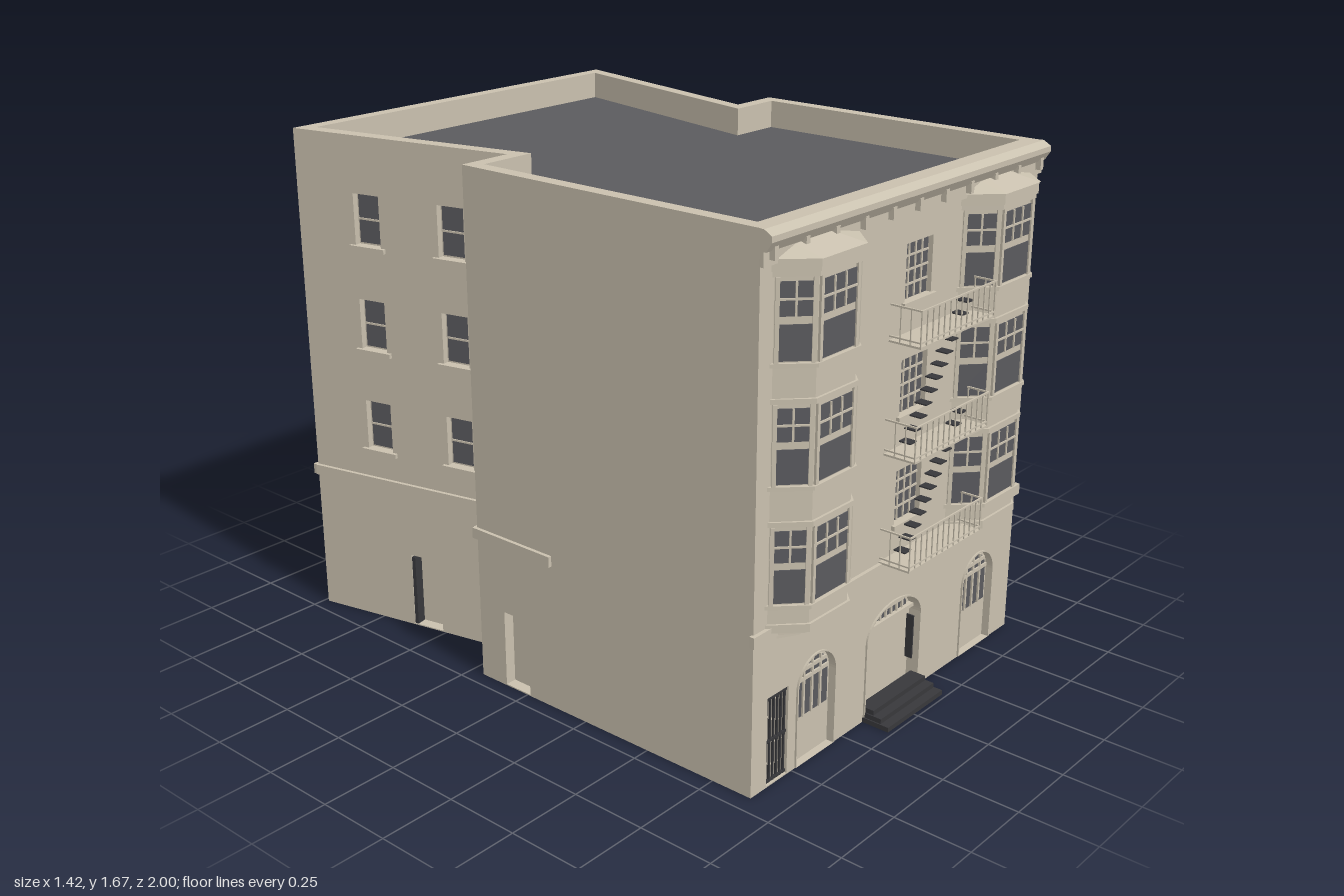
import * as THREE from 'three';

const mat = (name, color) => Object.assign(new THREE.MeshStandardMaterial({ color, side: THREE.DoubleSide }), { name });
const stone = mat('stone', 0xc9c0ae);
const glass = mat('glass', 0x5a5a5e);
const roofing = mat('roofing', 0x5b5b5e);
const iron = mat('iron', 0x38383b);

const H = 1.67, T = 0.045, FRONT = 0.89;
// Footprint corners (x, z), starting at the front, outward side on the right hand
const PLAN = [[-0.69, 0.89], [0.695, 0.89], [0.69, -0.16], [0.52, -0.16],
  [0.70, -0.985], [-0.70, -0.985], [-0.52, -0.2], [-0.70, -0.2]];

function add(parent, name, geo, material) {
  const m = new THREE.Mesh(geo, material);
  m.name = name;
  parent.add(m);
  return m;
}
// Box given by its minimum and maximum on each axis
function box(parent, name, x0, x1, y0, y1, z0, z1, material = stone) {
  const m = add(parent, name, new THREE.BoxGeometry(x1 - x0, y1 - y0, z1 - z0), material);
  m.position.set((x0 + x1) / 2, (y0 + y1) / 2, (z0 + z1) / 2);
  return m;
}
function group(parent, name) {
  const g = new THREE.Group();
  g.name = name;
  parent.add(g);
  return g;
}
// Opening outline: a rectangle, or an elliptical arch if spring is below the top
function outline(Kind, x0, x1, y0, top, spring = top) {
  const s = new Kind(), c = (x0 + x1) / 2;
  s.moveTo(x0, y0);
  s.lineTo(x1, y0);
  s.lineTo(x1, spring);
  if (spring < top) s.absellipse(c, spring, (x1 - x0) / 2, top - spring, 0, Math.PI, false);
  else s.lineTo(x0, top);
  s.closePath();
  return s;
}
// Glass sheet divided into cols x rows by thin bars
function sash(g, x0, x1, y0, y1, cols, rows, z) {
  box(g, 'pane', x0, x1, y0, y1, z, z + 0.003, glass);
  const b = 0.003;
  for (let i = 1; i < cols; i++) {
    const x = x0 + (x1 - x0) * i / cols;
    box(g, 'glazingBar', x - b, x + b, y0, y1, z, z + 0.007);
  }
  for (let j = 1; j < rows; j++) {
    const y = y0 + (y1 - y0) * j / rows;
    box(g, 'glazingBar', x0, x1, y - b, y + b, z, z + 0.007);
  }
}
// Arched glass with upright bars and cross bars trimmed to the curve
function archGlass(g, c, hw, y0, spring, top, cols, crossBars, z) {
  const s = outline(THREE.Shape, c - hw, c + hw, y0, top, spring);
  add(g, 'archedPane', new THREE.ShapeGeometry(s, 16), glass).position.z = z;
  for (let i = 1; i < cols; i++) {
    const x = hw * (2 * i / cols - 1);
    const y = spring + (top - spring) * Math.sqrt(1 - (x / hw) ** 2);
    box(g, 'glazingBar', c + x - 0.004, c + x + 0.004, y0, y, z, z + 0.006);
  }
  for (const y of crossBars) {
    const w = y > spring ? hw * Math.sqrt(1 - ((y - spring) / (top - spring)) ** 2) : hw;
    box(g, 'glazingBar', c - w, c + w, y - 0.006, y + 0.006, z, z + 0.006);
  }
}
// Wall panel along one footprint edge, mitred inside; returns its local frame
function wall(parent, i, name, holes) {
  const n = PLAN.length, at = k => new THREE.Vector2(...PLAN[(k + n) % n]);
  const p = at(i), dir = at(i + 1).sub(p), L = dir.length();
  const turn = (a, b) => Math.atan2(-(a.x * b.y - a.y * b.x), a.dot(b));
  const m0 = T * Math.tan(turn(at(i).sub(at(i - 1)), dir) / 2);
  const m1 = T * Math.tan(turn(dir, at(i + 2).sub(at(i + 1))) / 2);
  const s = outline(THREE.Shape, 0, L, 0, H);
  holes.forEach(h => s.holes.push(outline(THREE.Path, ...h)));
  const geo = new THREE.ExtrudeGeometry(s, { depth: T, bevelEnabled: false, curveSegments: 16 });
  geo.translate(0, 0, -T);
  const v = geo.attributes.position;
  for (let k = 0; k < v.count; k++) if (v.getZ(k) < -T / 2) {
    if (v.getX(k) < 1e-4) v.setX(k, m0);
    else if (v.getX(k) > L - 1e-4) v.setX(k, L - m1);
  }
  geo.computeVertexNormals();
  const g = group(parent, name);
  g.position.set(p.x, 0, p.y);
  g.rotation.y = Math.atan2(-dir.y, dir.x);
  add(g, 'wallPanel', geo, stone);
  g.userData.length = L;
  return g;
}
const FLOORS = [0.62, 0.968, 1.316];
const rect = (c, w, y0, y1) => [c - w / 2, c + w / 2, y0, y1];
// Plain two-pane window with a sill
function sashWindow(g, [x0, x1, y0, y1]) {
  const w = group(g, 'window'), f = 0.006;
  box(w, 'frame', x0, x1, y0, y1, -0.03, -0.022);
  sash(w, x0 + f, x1 - f, y0 + f, y1 - f, 1, 2, -0.022);
  box(w, 'sill', x0 - 0.018, x1 + 0.018, y0 - 0.015, y0, -0.02, 0.012);
}
// Recessed door; sideDark adds a dark strip at one jamb
function door(g, [x0, x1, y0, y1], sideDark) {
  box(g, 'door', x0, x1, y0, y1, -T, -T + 0.008);
  if (sideDark) box(g, 'doorEdge', x0, x0 + 0.013, y0, y1 - 0.008, -T, -0.002, iron);
}
function course(g, x0, x1) {
  box(g, 'stringCourse', x0, x1, 0.485, 0.52, -0.005, 0.012);
}
// Canted bay plan, grown by off, as a slab from y0 to y1
function baySlab(parent, name, y0, y1, off, topX = 1, topZ = 1) {
  const a = 0.175 + off, b = 0.09 + off * 0.5, d = 0.08 + off;
  const s = new THREE.Shape([[-a, -0.01], [a, -0.01], [a, 0], [b, d], [-b, d], [-a, 0]].map(q => new THREE.Vector2(...q)));
  const geo = new THREE.ExtrudeGeometry(s, { depth: y1 - y0, bevelEnabled: false });
  geo.rotateX(Math.PI / 2).translate(0, y1, 0);
  const v = geo.attributes.position;
  for (let k = 0; k < v.count; k++) if (v.getY(k) > y1 - 1e-4) {
    v.setX(k, v.getX(k) * topX);
    v.setZ(k, v.getZ(k) * topZ);
  }
  geo.computeVertexNormals();
  return add(parent, name, geo, stone);
}
function bay(parent, cx) {
  const g = group(parent, 'bayWindow');
  g.position.set(cx, 0, FRONT);
  baySlab(g, 'bayBody', 0.505, 1.57, 0);
  baySlab(g, 'lowerCorbel', 0.468, 0.487, -0.045);
  baySlab(g, 'upperCorbel', 0.487, 0.505, -0.02);
  baySlab(g, 'bayBase', 0.505, 0.53, 0.008);
  baySlab(g, 'bayCornice', 1.545, 1.58, 0.013);
  baySlab(g, 'bayRoof', 1.58, 1.608, 0.018, 0.55, 0.1);
  for (const y of [0.59, 0.945, 1.295]) {
    baySlab(g, 'baySill', y - 0.012, y, 0.012);
    baySlab(g, 'bayLintel', y + 0.235, y + 0.25, 0.008);
    // Front facet and the two slanted facets
    for (const s of [-1, 0, 1]) {
      const f = group(g, 'facetWindow'), hw = s ? 0.044 : 0.075;
      f.position.set(s * 0.1325, 0, s ? 0.04 : 0.08);
      f.rotation.y = s * Math.atan2(0.08, 0.085);
      for (const e of [-1, 1]) box(f, 'jamb', e * (hw + 0.006) - 0.006, e * (hw + 0.006) + 0.006, y, y + 0.235, 0, 0.008);
      sash(f, -hw, hw, y + 0.004, y + 0.105, 1, 1, 0);
      sash(f, -hw, hw, y + 0.127, y + 0.222, s ? 2 : 3, 2, 0);
    }
  }
}
function fireEscape(parent) {
  const g = group(parent, 'fireEscape'), x0 = -0.09, x1 = 0.305, z1 = 0.998, r = 0.0025;
  [0.518, 0.866, 1.215].forEach((y, level) => {
    box(g, 'platform', x0, x1, y, y + 0.006, FRONT, z1);
    for (const h of [0.018, 0.112]) {
      box(g, 'frontRail', x0, x1, y + h - r, y + h + r, z1 - 2 * r, z1);
      for (const x of [x0, x1 - 2 * r]) box(g, 'sideRail', x, x + 2 * r, y + h - r, y + h + r, FRONT, z1);
    }
    for (let i = 0; i <= 13; i++) {
      const x = x0 + (x1 - x0 - 2 * r) * i / 13;
      box(g, 'baluster', x, x + 1.4 * r, y, y + 0.112, z1 - 1.5 * r, z1);
    }
    for (const z of [0.925, 0.96]) for (const x of [x0, x1 - 2 * r])
      box(g, 'sideBaluster', x, x + 1.4 * r, y, y + 0.112, z, z + 1.4 * r);
    // Stair treads up to the next platform
    if (level < 2) for (let i = 0; i < 12; i++) {
      const x = -0.05 + 0.27 * i / 11, ty = y + 0.045 + 0.365 * i / 11;
      box(g, 'tread', x - 0.017, x + 0.017, ty, ty + 0.004, 0.925, 0.965, iron);
    }
  });
}
function frontWall(parent) {
  const X = 0.69; // wall coordinate of x = 0
  const mids = FLOORS.map(y => rect(X + 0.05, 0.135, y, y + 0.172));
  const arches = [-0.39, 0.488].map(c => [X + c - 0.09, X + c + 0.09, 0.004, 0.342, 0.255]);
  const entry = [X - 0.135, X + 0.15, 0.004, 0.357, 0.265];
  const gate = [X - 0.62, X - 0.523, 0.004, 0.292];
  const g = wall(parent, 0, 'frontWall', [...mids, ...arches, entry, gate]);
  for (const [x0, x1, y0, y1] of mids) {
    sash(g, x0, x1, y0, y1, 4, 4, -0.02);
    box(g, 'sill', x0 - 0.015, x1 + 0.015, y0 - 0.014, y0, -0.02, 0.012);
  }
  for (const [x0, x1, y0, y1] of arches) {
    box(g, 'archPanel', x0, x1, y0, y1, -0.035, -0.02);
    archGlass(g, (x0 + x1) / 2, 0.081, 0.145, 0.255, 0.332, 4, [0.27, 0.3], -0.018);
  }
  // Entrance: door, fanlight and dark sidelights
  box(g, 'entranceDoor', entry[0], entry[1], 0, entry[3], -T, -0.038);
  box(g, 'transom', entry[0], entry[1], 0.278, 0.29, -0.038, -0.02);
  archGlass(g, X + 0.0075, 0.118, 0.29, 0.291, 0.348, 8, [0.322], -0.034);
  for (const x of [entry[0] + 0.012, entry[1] - 0.016]) box(g, 'sidelight', x, x + 0.005, 0.1, 0.25, -0.036, -0.01, iron);
  for (const a of [...arches, entry]) {
    const e = 0.005, s = outline(THREE.Shape, a[0] - e, a[1] + e, a[2], a[3] + e, a[4]);
    s.holes.push(outline(THREE.Path, a[0], a[1], a[2] + 0.001, a[3], a[4]));
    add(g, 'archTrim', new THREE.ExtrudeGeometry(s, { depth: 0.006, bevelEnabled: false, curveSegments: 16 }), stone);
  }
  // Barred gate
  box(g, 'gateBack', gate[0], gate[1], 0, gate[3], -T, -0.038);
  for (let i = 0; i < 6; i++) {
    const x = gate[0] + 0.004 + i * 0.0165;
    box(g, 'gateBar', x, x + 0.006, 0.006, 0.285, -0.012, -0.006, iron);
  }
  for (const y of [0.008, 0.14, 0.278]) box(g, 'gateRail', gate[0], gate[1], y, y + 0.008, -0.012, -0.005, iron);
  course(g, -0.012, g.userData.length + 0.012);
}
function cornice(parent) {
  const pts = [[0, 1.67], [0.012, 1.67], [0.038, 1.655], [0.038, 1.638], [0.02, 1.61], [0.012, 1.61], [0.012, 1.568], [0, 1.568]];
  const geo = new THREE.ExtrudeGeometry(new THREE.Shape(pts.map(q => new THREE.Vector2(...q))), { depth: 1.39, bevelEnabled: false });
  const m = add(parent, 'cornice', geo, stone);
  m.rotation.y = -Math.PI / 2;
  m.scale.z = -1; // profile faces forward, running along +x
  m.rotation.y = Math.PI / 2;
  geo.scale(-1, 1, -1);
  m.position.set(-0.692, 0, FRONT);
  m.scale.z = -1;
  for (let i = 0; i < 11; i++) {
    const x = -0.66 + i * 0.1325;
    box(parent, 'corniceBracket', x - 0.008, x + 0.008, 1.585, 1.622, FRONT, FRONT + 0.03);
  }
}
export function createModel() {
  const model = new THREE.Group();
  model.name = 'apartmentBuilding';
  frontWall(model);
  [1, 2].forEach(i => wall(model, i, ['', 'rightWall', 'rightReturn'][i], []));
  // Splayed rear side walls, each with two window columns and a door
  for (const i of [3, 5]) {
    const z0 = PLAN[i][1], z1 = PLAN[i + 1][1], p = PLAN[i], q = PLAN[i + 1];
    const L = Math.hypot(q[0] - p[0], q[1] - p[1]), u = z => (z - z0) / (z1 - z0) * L;
    const wins = FLOORS.flatMap(y => [-0.41, -0.722].map(z => rect(u(z), 0.098, y, y + 0.168)));
    const d = rect(u(-0.568), 0.115, 0.004, 0.26);
    const g = wall(model, i, 'splayedWall', [...wins, d]);
    wins.forEach(w => sashWindow(g, w));
    door(g, d, true);
    course(g, 0, L);
  }
  // Rear wall
  const cols = [0.247, 0.543, 0.848, 1.136];
  const wins = FLOORS.flatMap(y => cols.map(c => rect(c, 0.1, y, y + 0.168)));
  wins.push(rect(cols[0], 0.11, 0.29, 0.385), rect(cols[3], 0.11, 0.29, 0.385));
  const rearDoor = rect(0.7, 0.11, 0.004, 0.26);
  const rear = wall(model, 4, 'rearWall', [...wins, rearDoor]);
  wins.forEach(w => sashWindow(rear, w));
  door(rear, rearDoor, false);
  course(rear, -0.01, 1.41);
  // Left return and left wall, each with a door
  const returnDoor = rect(0.095, 0.105, 0.004, 0.26), leftDoor = rect(0.16, 0.105, 0.004, 0.26);
  const ret = wall(model, 6, 'leftReturn', [returnDoor]);
  door(ret, returnDoor, true);
  course(ret, 0, 0.185);
  const left = wall(model, 7, 'leftWall', [leftDoor]);
  door(left, leftDoor, false);
  course(left, -0.01, 0.32);
  // Flat roof behind the parapet
  const deck = new THREE.ShapeGeometry(new THREE.Shape(PLAN.map(([x, z]) => new THREE.Vector2(x * 0.985, -z * 0.985))));
  deck.rotateX(-Math.PI / 2);
  add(model, 'roofDeck', deck, roofing).position.y = 1.58;
  cornice(model);
  bay(model, -0.455);
  bay(model, 0.445);
  fireEscape(model);
  // Entrance steps
  for (let i = 0; i < 3; i++)
    box(model, 'entranceStep', -0.142 + i * 0.004, 0.157 - i * 0.004, i * 0.016, (i + 1) * 0.016, FRONT - 0.02, 0.985 - i * 0.03, iron);
  return model;
}
